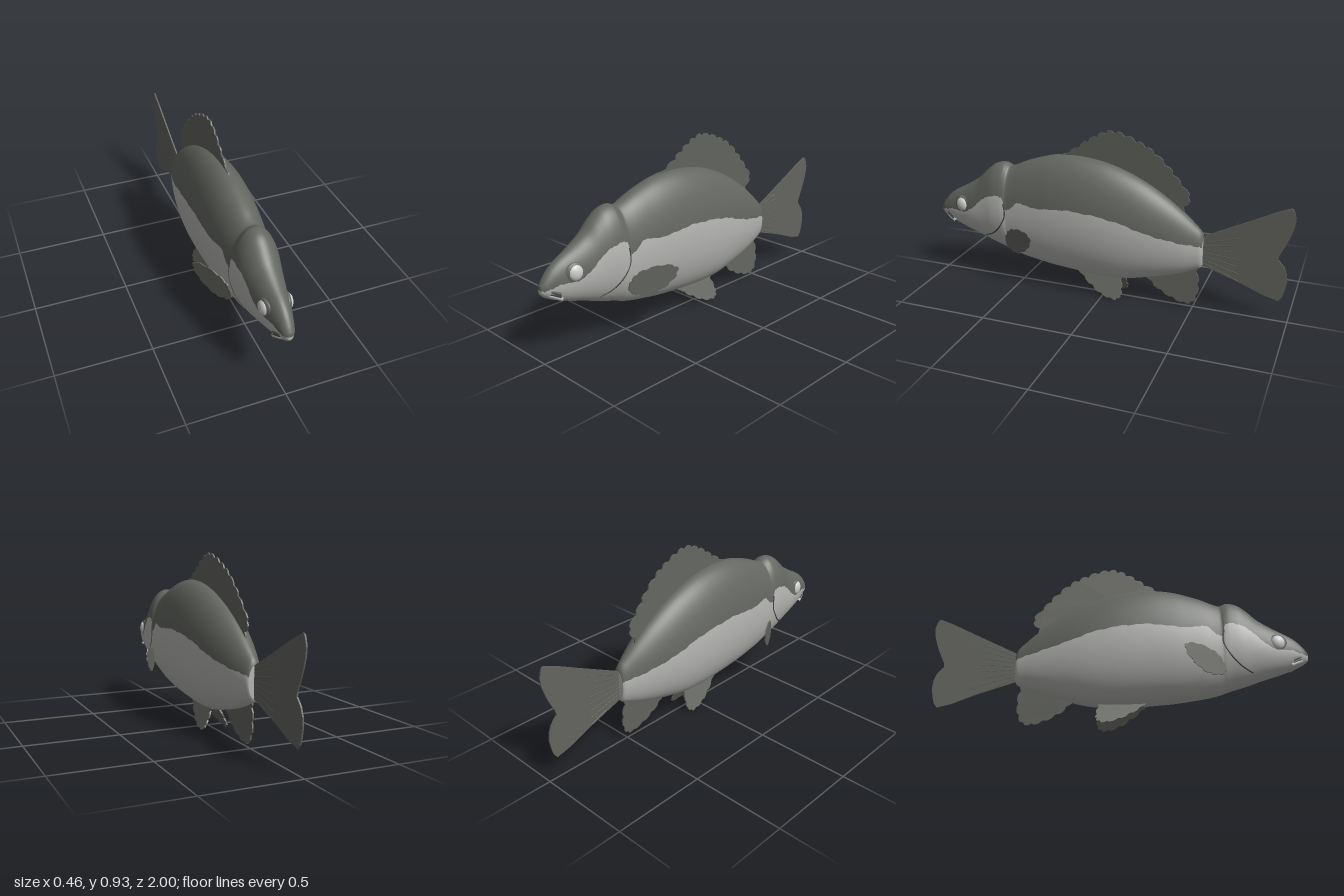
import * as THREE from 'three';

const mat = (name, color) => {
  const m = new THREE.MeshStandardMaterial({ color });
  m.name = name;
  return m;
};

// Body stations from snout to tail: z, back height, belly height, half width, height of the colour line
const STATIONS = [
  [1.0, 0.405, 0.365, 0.014, 0.385], [0.98, 0.435, 0.345, 0.03, 0.385], [0.945, 0.475, 0.325, 0.042, 0.395],
  [0.9, 0.508, 0.305, 0.055, 0.405], [0.84, 0.54, 0.283, 0.069, 0.4], [0.79, 0.57, 0.267, 0.081, 0.42],
  [0.74, 0.605, 0.25, 0.091, 0.46], [0.69, 0.655, 0.232, 0.101, 0.505], [0.64, 0.692, 0.215, 0.112, 0.53],
  [0.59, 0.704, 0.2, 0.117, 0.538], [0.562, 0.695, 0.19, 0.117, 0.525], [0.545, 0.688, 0.183, 0.114, 0.465],
  [0.51, 0.7, 0.172, 0.118, 0.48], [0.46, 0.723, 0.16, 0.125, 0.52], [0.4, 0.745, 0.15, 0.132, 0.51],
  [0.3, 0.774, 0.135, 0.142, 0.51], [0.19, 0.788, 0.125, 0.148, 0.523], [0.08, 0.783, 0.117, 0.15, 0.52],
  [-0.03, 0.763, 0.115, 0.147, 0.508], [-0.14, 0.725, 0.123, 0.138, 0.483], [-0.24, 0.677, 0.145, 0.124, 0.448],
  [-0.34, 0.614, 0.171, 0.103, 0.42], [-0.43, 0.545, 0.2, 0.079, 0.398], [-0.5, 0.482, 0.23, 0.055, 0.385],
  [-0.53, 0.452, 0.244, 0.043, 0.378], [-0.542, 0.425, 0.262, 0.034, 0.372],
];
const outline = new THREE.CatmullRomCurve3(STATIONS.map(s => new THREE.Vector3(s[0], s[1], s[2])), false, 'catmullrom', 0.5);
const sides = new THREE.CatmullRomCurve3(STATIONS.map(s => new THREE.Vector3(s[0], s[3], s[4])), false, 'catmullrom', 0.5);

function section(t) {
  const a = outline.getPoint(t), b = sides.getPoint(t);
  return { z: a.x, mid: (a.y + a.z) / 2, h: (a.y - a.z) / 2, w: b.y, line: b.z };
}

// Point on the flank for a given z and y, lifted outwards a little
function onFlank(side, z, y, lift = 0) {
  let lo = 0, hi = 1;
  for (let i = 0; i < 24; i++) {
    const t = (lo + hi) / 2;
    if (section(t).z > z) lo = t; else hi = t;
  }
  const s = section(lo);
  const k = THREE.MathUtils.clamp((y - s.mid) / s.h, -1, 1);
  return new THREE.Vector3(side * (s.w * Math.sqrt(1 - k * k) + lift), y, z);
}

// Lofted body; each ring is split exactly at the colour line
function bodyGeometry() {
  const rows = 150, up = 24, down = 28, n = up + down;
  const pos = [], dark = [], light = [];
  for (let i = 0; i <= rows; i++) {
    const s = section(i / rows);
    const ripple = 0.004 * Math.sin(i * 1.3) * Math.sin(i * 0.47);
    const a = Math.asin(THREE.MathUtils.clamp((s.line + ripple - s.mid) / s.h, -0.95, 0.95));
    for (let j = 0; j < n; j++) {
      const ang = j < up ? a + (Math.PI - 2 * a) * j / up
        : Math.PI - a + (Math.PI + 2 * a) * (j - up) / down;
      pos.push(s.w * Math.cos(ang), s.mid + s.h * Math.sin(ang), s.z);
    }
  }
  for (let i = 0; i < rows; i++) {
    for (let j = 0; j < n; j++) {
      const k = (j + 1) % n, p = i * n, q = p + n;
      (j < up ? dark : light).push(p + j, q + j, p + k, q + j, q + k, p + k);
    }
  }
  // End caps
  const first = section(0), last = section(1), c = pos.length / 3, r = rows * n;
  pos.push(0, first.mid, first.z, 0, last.mid, last.z);
  for (let j = 0; j < n; j++) {
    const k = (j + 1) % n;
    (j < up ? dark : light).push(c, j, k);
    light.push(c + 1, r + k, r + j);
  }
  const g = new THREE.BufferGeometry();
  g.setAttribute('position', new THREE.Float32BufferAttribute(pos, 3));
  g.setIndex([...dark, ...light]);
  g.addGroup(0, dark.length, 0);
  g.addGroup(dark.length, light.length, 1);
  g.computeVertexNormals();
  return g;
}

// Thin fin: root points are straight, rim points become a toothed curve; all are [z, y]
function finGeometry(root, rim, teeth, depth, thickness, xAt) {
  const curve = new THREE.SplineCurve(rim.map(p => new THREE.Vector2(-p[0], p[1])));
  const pts = root.map(p => new THREE.Vector2(-p[0], p[1]));
  const centre = curve.getPoint(0).add(curve.getPoint(1)).multiplyScalar(0.5);
  const steps = Math.max(teeth * 3, 24);
  for (let i = 0; i <= steps; i++) {
    const p = curve.getPoint(i / steps);
    if (teeth && i % 3 === 2 && i < steps) {
      p.add(centre.clone().sub(p).normalize().multiplyScalar(depth));
    }
    pts.push(p);
  }
  const g = new THREE.ExtrudeGeometry(new THREE.Shape(pts), { depth: thickness, bevelEnabled: false });
  g.translate(0, 0, -thickness / 2).rotateY(Math.PI / 2);
  const v = g.attributes.position;
  for (let i = 0; i < v.count; i++) v.setX(i, v.getX(i) + xAt(v.getZ(i), v.getY(i)));
  g.computeVertexNormals();
  return g;
}

export function createModel() {
  const model = new THREE.Group();
  const back = mat('dark back', 0x646761);
  const belly = mat('pale belly', 0xb6b6b4);
  const finMat = mat('fin grey', 0x63655f);
  const crease = mat('crease dark', 0x454742);
  const eyeMat = mat('eye pale', 0xcfcfcd);

  const add = (name, geometry, material) => {
    const m = new THREE.Mesh(geometry, material);
    m.name = name;
    model.add(m);
    return m;
  };
  const tube = (name, pts, radius, material) =>
    add(name, new THREE.TubeGeometry(new THREE.CatmullRomCurve3(pts), 24, radius, 8), material);

  add('body', bodyGeometry(), [back, belly]);

  // Fins on the centre line
  add('dorsalFin', finGeometry(
    [[-0.43, 0.52], [-0.24, 0.65], [-0.03, 0.74], [0.15, 0.77]],
    [[0.25, 0.782], [0.17, 0.83], [0.1, 0.88], [0.03, 0.922], [-0.04, 0.943], [-0.12, 0.927], [-0.2, 0.893],
      [-0.27, 0.852], [-0.345, 0.782], [-0.405, 0.71], [-0.465, 0.625], [-0.43, 0.555]],
    15, 0.014, 0.008, (z, y) => 0.002 + 0.045 * (y - 0.76)), finMat);
  add('tailFin', finGeometry(
    [[-0.52, 0.27], [-0.52, 0.42]],
    [[-0.54, 0.425], [-0.75, 0.53], [-0.955, 0.632], [-0.985, 0.62], [-0.998, 0.565], [-0.975, 0.475], [-0.942, 0.4],
      [-0.928, 0.355], [-0.96, 0.32], [-0.982, 0.25], [-0.967, 0.165], [-0.93, 0.125], [-0.74, 0.195], [-0.54, 0.262]],
    0, 0, 0.008, () => 0), finMat);
  add('analFin', finGeometry(
    [[-0.5, 0.25], [-0.38, 0.21], [-0.27, 0.18]],
    [[-0.235, 0.145], [-0.3, 0.085], [-0.39, 0.04], [-0.47, 0.024], [-0.515, 0.055], [-0.53, 0.14], [-0.515, 0.23]],
    7, 0.01, 0.008, (z, y) => 0.05 * (0.15 - y)), finMat);

  // Raised rays at the tail root
  for (let i = 0; i < 8; i++) {
    const k = i / 7 - 0.5, y = 0.343 + k * 0.13;
    tube('tailRay', [new THREE.Vector3(0, y, -0.54), new THREE.Vector3(0, y + k * 0.07, -0.63),
      new THREE.Vector3(0, y + k * 0.15, -0.73)], 0.005, finMat);
  }

  for (const side of [1, -1]) {
    // Paired fins
    add('pectoralFin', finGeometry(
      [[0.54, 0.25], [0.558, 0.275]],
      [[0.552, 0.31], [0.53, 0.345], [0.485, 0.375], [0.4, 0.39], [0.342, 0.37], [0.355, 0.315],
        [0.41, 0.262], [0.47, 0.235], [0.525, 0.242]],
      10, 0.01, 0.006, z => side * (0.1 + 0.58 * (0.556 - z))), finMat);
    add('pelvicFin', finGeometry(
      [[-0.1, 0.14], [0.1, 0.14]],
      [[0.15, 0.125], [0.08, 0.07], [0.0, 0.025], [-0.075, 0.008], [-0.11, 0.025], [-0.115, 0.06], [-0.105, 0.12]],
      6, 0.009, 0.009, (z, y) => side * (0.025 + 0.45 * (0.115 - y))), finMat);

    // Eye with its dark socket
    const socket = add('eyeSocket', new THREE.SphereGeometry(0.053, 28, 18), back);
    socket.scale.x = 0.34;
    socket.position.set(side * 0.056, 0.44, 0.84);
    const eye = add('eye', new THREE.SphereGeometry(0.036, 28, 18), eyeMat);
    eye.scale.set(0.55, 1.1, 1);
    eye.position.set(side * 0.064, 0.443, 0.84);
    for (const part of [socket, eye]) part.rotation.y = side * -0.2;

    // Gill cover edge
    tube('gillEdge', [[0.556, 0.5], [0.55, 0.43], [0.585, 0.36], [0.64, 0.305], [0.7, 0.275]]
      .map(p => onFlank(side, p[0], p[1], -0.001)), 0.004, crease);
  }

  // Lips and mouth line, curved around the snout
  const mouthArc = (y, z, w) => [-1, -0.6, 0, 0.6, 1].map(k =>
    new THREE.Vector3(w * k, y - 0.04 * k * k, z - 0.075 * k * k));
  tube('upperLip', mouthArc(0.394, 0.988, 0.041), 0.01, back);
  tube('mouthLine', mouthArc(0.379, 0.987, 0.041), 0.007, crease);
  tube('lowerLip', mouthArc(0.364, 0.98, 0.039), 0.01, belly);

  return model;
}
